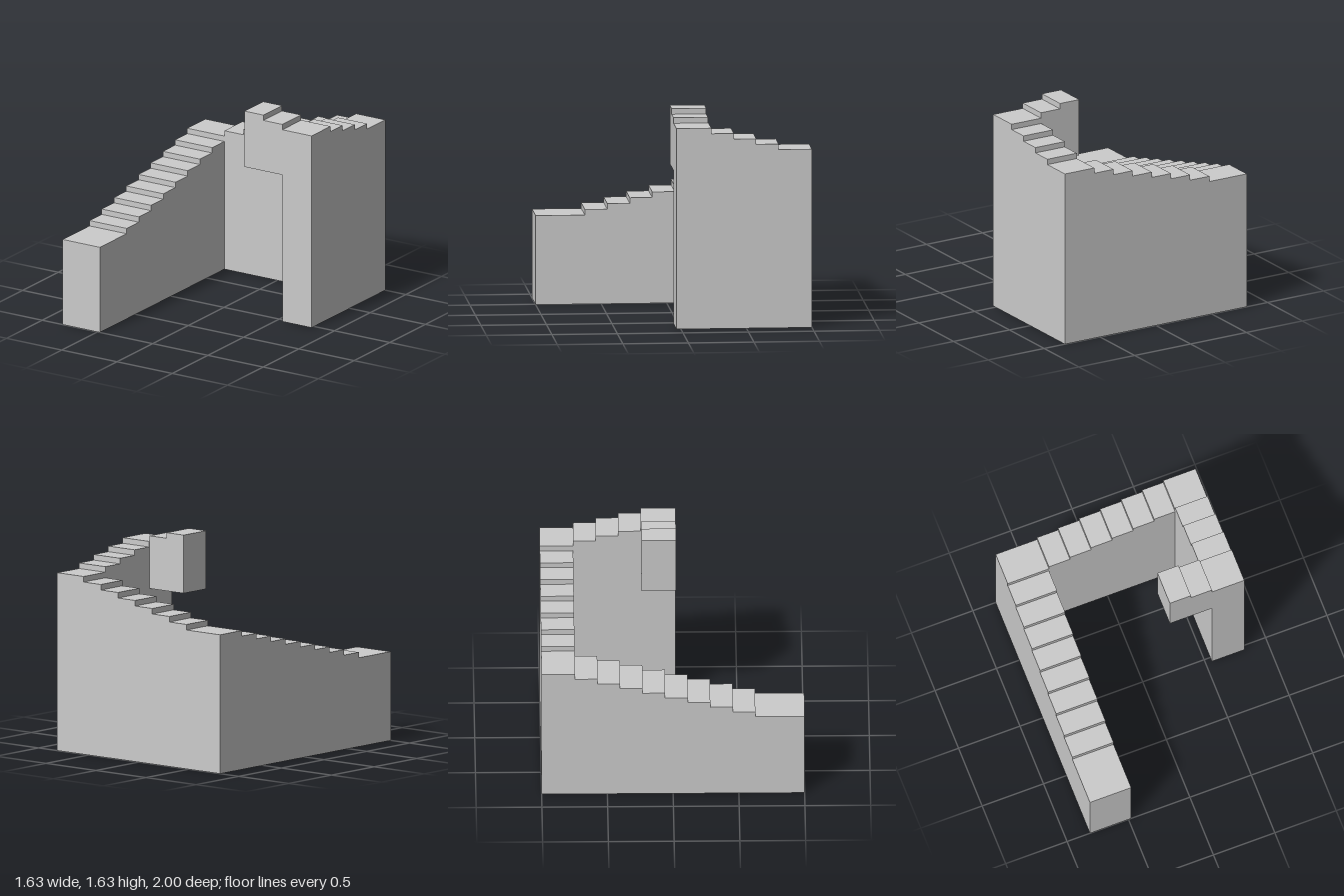
import * as THREE from 'three';

const RUN = 0.1713, RISE = 0.0429, FIRST = 0.685;
const W = 0.814;                    // half width in x
const INNER_L = -0.478, INNER_R = 0.55, INNER_BACK = -0.746;
const TOP_BACK = -0.229, TOP_FRONT = 0.034;

// Evenly spaced tread edges: count treads beginning at start, in direction dir
const treads = (start, count, dir) =>
  Array.from({ length: count + 1 }, (_, i) => start + dir * RUN * i);

export function createModel() {
  const group = new THREE.Group();
  group.name = 'staircase';
  const material = new THREE.MeshStandardMaterial({ color: 0xcccccc, flatShading: true });

  // Solid stepped wall: edges run in the climbing direction, level is the first tread's number
  function flight(name, edges, level, base, axis, near, far) {
    const shape = new THREE.Shape();
    shape.moveTo(edges[0], base);
    for (let i = 0; i < edges.length - 1; i++) {
      const y = FIRST + RISE * (level + i);
      shape.lineTo(edges[i], y);
      shape.lineTo(edges[i + 1], y);
    }
    shape.lineTo(edges[edges.length - 1], base);
    shape.closePath();
    const geometry = new THREE.ExtrudeGeometry(shape, { depth: far - near, bevelEnabled: false });
    if (axis === 'z') geometry.rotateY(-Math.PI / 2).translate(far, 0, 0);
    else geometry.translate(0, 0, near);
    const mesh = new THREE.Mesh(geometry, material);
    mesh.name = name;
    group.add(mesh);
  }

  // Long flight from the low front landing to the first back corner
  flight('longFlight', [1, ...treads(0.625, 8, -1), -1], 0, 0, 'z', -W, INNER_L);
  // Back flight, ending in the second corner landing
  flight('backFlight', [...treads(INNER_L, 6, 1), W], 10, 0, 'x', -1, INNER_BACK);
  // Side flight, ending in the third corner landing
  flight('sideFlight', [...treads(INNER_BACK, 3, -(-1)), TOP_FRONT], 17, 0, 'z', INNER_R, W);
  // Top two steps, overhanging the court
  flight('overhangingSteps', treads(INNER_R, 2, -1), 21, 1.18, 'x', TOP_BACK, TOP_FRONT);

  return group;
}
